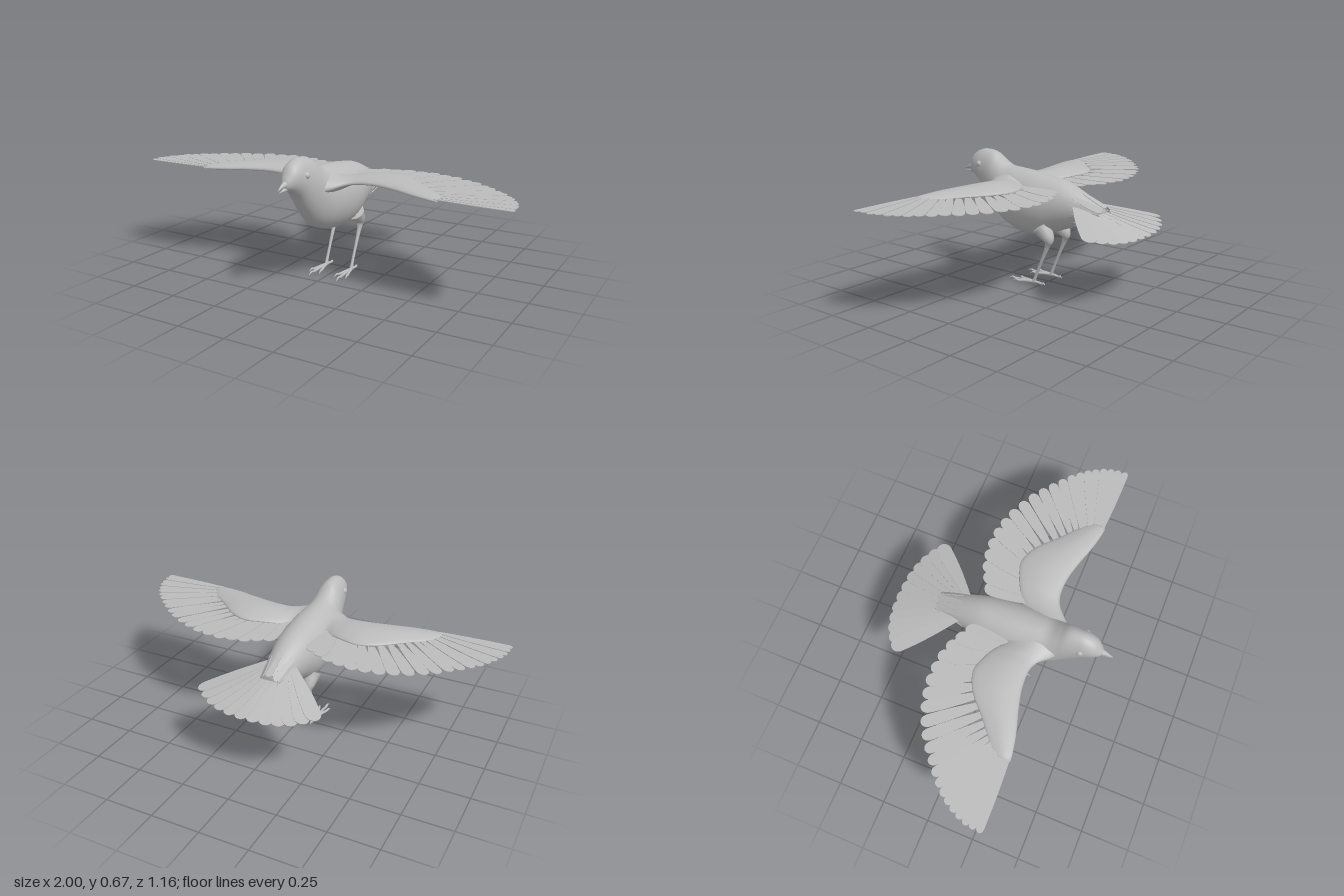
import * as THREE from 'three';

const V = (x, y, z) => new THREE.Vector3(x, y, z);
const plumage = new THREE.MeshStandardMaterial({ color: 0xbbbbbb, side: THREE.DoubleSide });
plumage.name = 'plumageGrey';

function add(parent, name, geometry) {
  const mesh = new THREE.Mesh(geometry, plumage);
  mesh.name = name;
  parent.add(mesh);
  return mesh;
}

// Smooth closed skin through a list of rings, capped at both ends and turned outward
function loft(rings) {
  const n = rings[0].length, pos = [], idx = [];
  rings.forEach(r => r.forEach(p => pos.push(p.x, p.y, p.z)));
  for (let i = 0; i < rings.length - 1; i++) for (let j = 0; j < n; j++) {
    const a = i * n + j, b = i * n + (j + 1) % n;
    idx.push(a, b, a + n, b, b + n, a + n);
  }
  [0, rings.length - 1].forEach(i => {
    const c = rings[i].reduce((s, p) => s.add(p), V(0, 0, 0)).divideScalar(n);
    const k = pos.length / 3;
    pos.push(c.x, c.y, c.z);
    for (let j = 0; j < n; j++) {
      const a = i * n + j, b = i * n + (j + 1) % n;
      if (i === 0) idx.push(k, b, a); else idx.push(k, a, b);
    }
  });
  const at = i => V(pos[3 * i], pos[3 * i + 1], pos[3 * i + 2]);
  let volume = 0;
  for (let i = 0; i < idx.length; i += 3) volume += at(idx[i]).dot(at(idx[i + 1]).cross(at(idx[i + 2])));
  if (volume < 0) idx.reverse();
  const g = new THREE.BufferGeometry();
  g.setAttribute('position', new THREE.Float32BufferAttribute(pos, 3));
  g.setIndex(idx);
  g.computeVertexNormals();
  return g;
}

// Round limb along a curve with a radius at each point
function limb(points, radii, steps = 24, sides = 10) {
  const curve = new THREE.CatmullRomCurve3(points, false, 'catmullrom');
  const radius = new THREE.CatmullRomCurve3(radii.map(r => V(r, 0, 0)), false, 'catmullrom');
  const rings = [];
  for (let i = 0; i <= steps; i++) {
    const t = i / steps, p = curve.getPoint(t), d = curve.getTangent(t);
    const r = Math.max(radius.getPoint(t).x, 0.0008);
    const u = V(1, 0.01, 0).cross(d).normalize().lengthSq() > 0.5 ? V(1, 0.01, 0).cross(d).normalize() : V(0, 1, 0);
    const v = d.clone().cross(u).normalize();
    rings.push(Array.from({ length: sides }, (_, j) => {
      const a = j / sides * Math.PI * 2;
      return p.clone().addScaledVector(u, r * Math.cos(a)).addScaledVector(v, r * Math.sin(a));
    }));
  }
  return loft(rings);
}

// Thin feather blade from base to tip, with a rounded end
function feather(base, tip, width, up = V(0, 1, 0)) {
  const d = tip.clone().sub(base), L = d.length(), w = width / 2;
  d.normalize();
  const s = new THREE.Shape();
  s.moveTo(-w * 0.35, 0);
  s.bezierCurveTo(-w * 0.7, L * 0.3, -w, L * 0.5, -w, L - w * 1.3);
  s.bezierCurveTo(-w, L - w * 0.4, -w * 0.5, L, 0, L);
  s.bezierCurveTo(w * 0.5, L, w, L - w * 0.4, w, L - w * 1.3);
  s.bezierCurveTo(w, L * 0.5, w * 0.7, L * 0.3, w * 0.35, 0);
  const g = new THREE.ExtrudeGeometry(s, { depth: 0.003, bevelEnabled: false, curveSegments: 6 });
  const x = d.clone().cross(up).normalize();
  return g.applyMatrix4(new THREE.Matrix4().makeBasis(x, d, x.clone().cross(d)).setPosition(base));
}

function body(parent) {
  // z, top, bottom, half width
  const profile = [
    [0.525, 0.575, 0.54, 0.012], [0.515, 0.595, 0.532, 0.025], [0.484, 0.64, 0.515, 0.046],
    [0.44, 0.662, 0.478, 0.06], [0.4, 0.667, 0.425, 0.067], [0.344, 0.657, 0.357, 0.08],
    [0.3, 0.626, 0.315, 0.091], [0.25, 0.597, 0.284, 0.106], [0.18, 0.589, 0.261, 0.122],
    [0.08, 0.58, 0.25, 0.128], [-0.01, 0.567, 0.262, 0.122], [-0.105, 0.549, 0.3, 0.103],
    [-0.2, 0.51, 0.332, 0.08], [-0.29, 0.462, 0.357, 0.058], [-0.33, 0.44, 0.37, 0.04]];
  const line = new THREE.CatmullRomCurve3(profile.map(p => V(p[0], p[1], p[2])), false, 'catmullrom');
  const girth = new THREE.CatmullRomCurve3(profile.map(p => V(p[3], 0, 0)), false, 'catmullrom');
  const rings = [];
  for (let i = 0; i <= 70; i++) {
    const p = line.getPoint(i / 70), w = girth.getPoint(i / 70).x;
    rings.push(Array.from({ length: 36 }, (_, j) => {
      const a = j / 36 * Math.PI * 2;
      return V(w * Math.cos(a), (p.y + p.z) / 2 + (p.y - p.z) / 2 * Math.sin(a), p.x);
    }));
  }
  add(parent, 'body', loft(rings));
  // Ragged ring of rump feathers around the tail root
  for (let k = 0; k < 16; k++) {
    const a = k / 16 * Math.PI * 2, c = Math.cos(a), s = Math.sin(a);
    add(parent, 'rumpFeather', feather(V(0.083 * c, 0.422 + 0.092 * s, -0.18),
      V(0.047 * c, 0.4 + 0.042 * s, k % 2 ? -0.33 : -0.348), 0.034, V(c, s, 0)));
  }
  // Slightly open beak
  add(parent, 'upperBeak', limb([V(0, 0.563, 0.5), V(0, 0.557, 0.54), V(0, 0.543, 0.578)], [0.024, 0.011, 0.001]));
  add(parent, 'lowerBeak', limb([V(0, 0.54, 0.5), V(0, 0.535, 0.535), V(0, 0.532, 0.568)], [0.016, 0.007, 0.001]));
}

function wing(side) {
  const g = new THREE.Group();
  // Arm: x, front z, back z, top y, bottom y
  const sections = [
    [0.04, 0.35, 0.06, 0.568, 0.45], [0.1, 0.305, 0.07, 0.55, 0.475], [0.16, 0.248, 0.035, 0.55, 0.503],
    [0.22, 0.228, 0.005, 0.559, 0.511], [0.31, 0.232, -0.02, 0.564, 0.514], [0.41, 0.255, 0.02, 0.56, 0.514],
    [0.51, 0.285, 0.11, 0.55, 0.513], [0.6, 0.304, 0.185, 0.539, 0.512], [0.65, 0.31, 0.235, 0.53, 0.513]];
  const edges = new THREE.CatmullRomCurve3(sections.map(p => V(p[0], p[1], p[2])), false, 'catmullrom');
  const height = new THREE.CatmullRomCurve3(sections.map(p => V(p[3], p[4], 0)), false, 'catmullrom');
  const rings = [];
  for (let i = 0; i <= 40; i++) {
    const e = edges.getPoint(i / 40), h = height.getPoint(i / 40);
    rings.push(Array.from({ length: 24 }, (_, j) => {
      const a = j / 24 * Math.PI * 2, c = Math.cos(a);
      const rise = Math.sin(a) * (c < 0 ? 1 + 0.35 * c : 1);
      const mid = h.y + (h.x - h.y) * 0.35;
      return V(side * e.x, mid + rise * (rise > 0 ? h.x - mid : mid - h.y), (e.y + e.z) / 2 + c * (e.y - e.z) / 2);
    }));
  }
  add(g, 'wingArm', loft(rings));
  // Flight feathers fan from the arm to the scalloped outer edge
  const curve = list => new THREE.CatmullRomCurve3(list.map(p => V(p[0], 0, p[1])), false, 'catmullrom');
  const bases = curve([[0.13, 0.12], [0.2, 0.07], [0.29, 0.04], [0.38, 0.07], [0.46, 0.13],
    [0.53, 0.18], [0.58, 0.22], [0.61, 0.25], [0.63, 0.275], [0.63, 0.298]]);
  const tips = curve([[0.12, -0.14], [0.25, -0.2], [0.4, -0.217], [0.55, -0.187], [0.69, -0.12],
    [0.8, -0.035], [0.89, 0.05], [0.95, 0.13], [0.988, 0.215], [0.998, 0.298]]);
  const count = 21;
  for (let i = 0; i < count; i++) {
    const t = i / (count - 1), b = bases.getPoint(t), p = tips.getPoint(t);
    const lift = 0.514 + (i % 2) * 0.002;
    b.set(side * b.x, lift + 0.035 * b.z, b.z);
    p.set(side * p.x, lift + 0.035 * p.z, p.z);
    add(g, 'flightFeather', feather(b, p, 0.078 - 0.043 * t));
  }
  return g;
}

function tail(parent) {
  const tips = [[0.033, -0.578], [0.1, -0.573], [0.162, -0.56], [0.218, -0.54], [0.268, -0.51], [0.312, -0.475]];
  const y = z => 0.405 + 0.31 * (z + 0.344);
  for (const side of [-1, 1]) tips.forEach(([x, z], i) => add(parent, 'tailFeather',
    feather(V(side * (0.008 + i * 0.009), y(-0.2) - i * 0.0008, -0.2), V(side * x, y(z) - i * 0.0008, z), 0.078)));
}

function leg(side) {
  const g = new THREE.Group(), P = (x, y, z) => V(side * x, y, z);
  add(g, 'thighAndShank', limb(
    [P(0.068, 0.31, -0.01), P(0.073, 0.255, -0.053), P(0.075, 0.215, -0.047), P(0.075, 0.12, -0.006), P(0.075, 0.04, 0.029), P(0.075, 0.012, 0.04)],
    [0.05, 0.03, 0.013, 0.0075, 0.008, 0.01], 36));
  // Three toes forward, one back, each ending in a claw
  for (const [x, z] of [[0.044, 0.16], [0.08, 0.203], [0.108, 0.155], [0.073, -0.032]]) {
    const at = (t, y) => P(0.075 + (x - 0.075) * t, y, 0.04 + (z - 0.04) * t);
    add(g, 'toe', limb([at(0, 0.012), at(0.35, 0.012), at(0.7, 0.009), at(0.85, 0.013), at(1, 0.003)],
      [0.009, 0.007, 0.0065, 0.005, 0.001]));
  }
  return g;
}

export function createModel() {
  const bird = new THREE.Group();
  bird.name = 'bird';
  body(bird);
  tail(bird);
  for (const side of [-1, 1]) {
    const label = side > 0 ? 'left' : 'right';
    const w = wing(side), l = leg(side);
    w.name = label + 'Wing';
    l.name = label + 'Leg';
    bird.add(w, l);
    add(bird, label + 'Eye', new THREE.SphereGeometry(0.018, 20, 14)).position.set(side * 0.052, 0.59, 0.422);
  }
  return bird;
}
